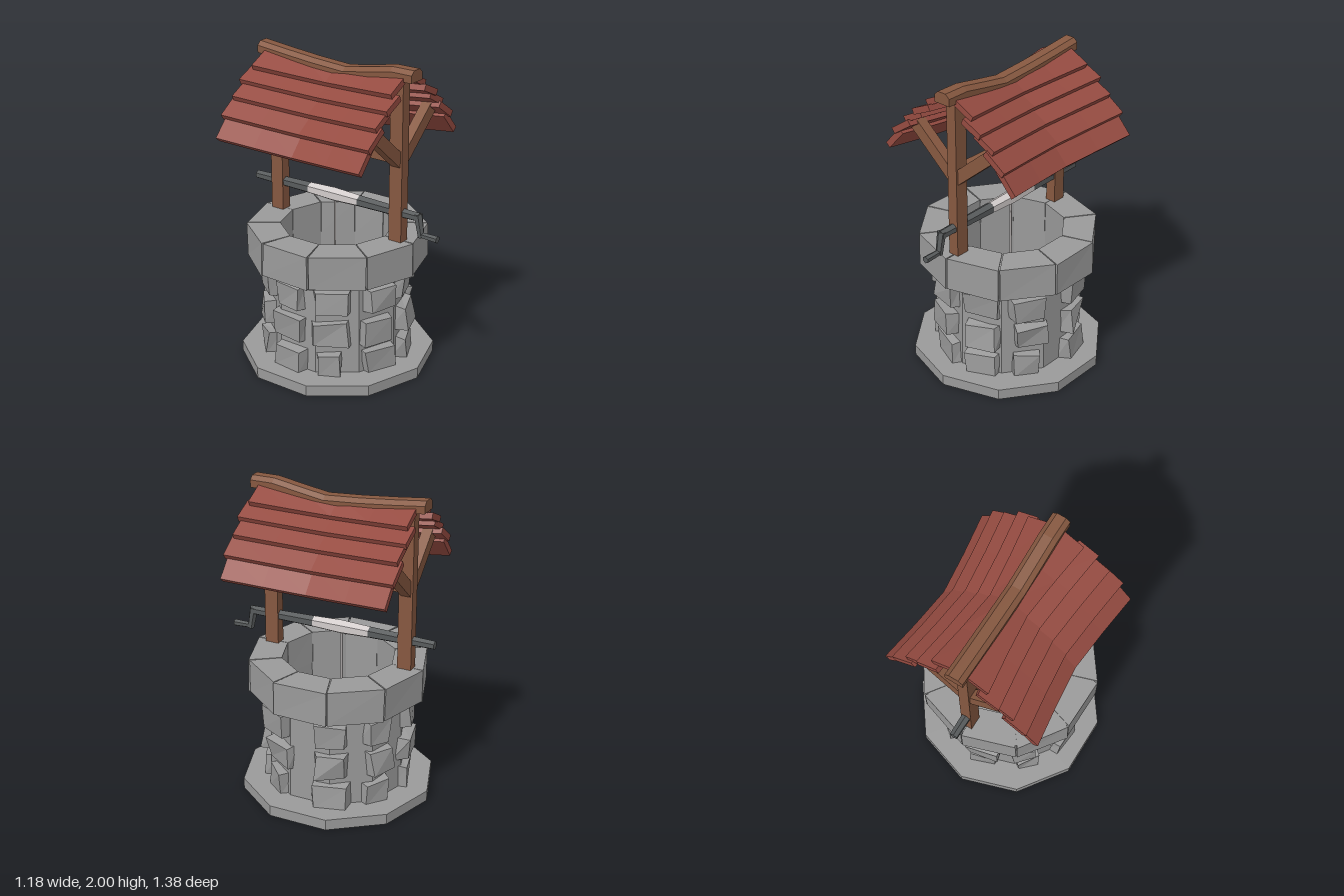
import * as THREE from 'three';

const AXIS_Z = -0.05; // the shaft's centre line

export function createModel() {
  const model = new THREE.Group();
  const mat = (name, color) => {
    const m = new THREE.MeshStandardMaterial({ color, flatShading: true });
    m.name = name;
    return m;
  };
  const stone = mat('stone', 0x9a9a9a);
  const wood = mat('wood', 0x865840);
  const tile = mat('roofTile', 0x954b41);
  const metal = mat('metal', 0x585b5c);
  const rope = mat('rope', 0xd2cccb);

  let seed = 11;
  const rand = () => (seed = (seed * 16807) % 2147483647) / 2147483647;
  const vary = (s) => (rand() - 0.5) * 2 * s;

  const add = (name, geo, material, x = 0, y = 0, z = 0) => {
    const mesh = new THREE.Mesh(geo, material);
    mesh.name = name;
    mesh.position.set(x, y, z);
    model.add(mesh);
    return mesh;
  };

  // box whose eight corners are placed by fn(sx, sy, sz), each sign being -1 or 1
  const cornerBox = (fn) => {
    const geo = new THREE.BoxGeometry(2, 2, 2);
    const p = geo.attributes.position;
    const seen = {};
    for (let i = 0; i < p.count; i++) {
      const s = [p.getX(i), p.getY(i), p.getZ(i)].map(Math.sign);
      seen[s] ??= fn(...s);
      p.setXYZ(i, ...seen[s]);
    }
    geo.computeVertexNormals();
    return geo;
  };

  // solid through counter-clockwise [x, y] sections at rising z
  const loft = (stations) => {
    const pos = [];
    const pt = (k, j) => {
      const { z, ring } = stations[k];
      return [...ring[j % ring.length], z];
    };
    const n = stations[0].ring.length;
    const last = stations.length - 1;
    for (let k = 0; k < last; k++)
      for (let j = 0; j < n; j++) {
        const a = pt(k, j), b = pt(k, j + 1), c = pt(k + 1, j + 1), d = pt(k + 1, j);
        pos.push(...a, ...b, ...c, ...a, ...c, ...d);
      }
    for (let j = 1; j < n - 1; j++) {
      pos.push(...pt(last, 0), ...pt(last, j), ...pt(last, j + 1));
      pos.push(...pt(0, 0), ...pt(0, j + 1), ...pt(0, j));
    }
    const geo = new THREE.BufferGeometry();
    geo.setAttribute('position', new THREE.Float32BufferAttribute(pos, 3));
    geo.computeVertexNormals();
    return geo;
  };

  // tapered rod between two points
  const rod = (name, a, b, ra, rb, material, sides = 6) => {
    const A = new THREE.Vector3(...a), B = new THREE.Vector3(...b);
    const dir = B.clone().sub(A);
    const mesh = add(name, new THREE.CylinderGeometry(rb, ra, dir.length(), sides), material);
    mesh.position.copy(A).add(B).multiplyScalar(0.5);
    mesh.quaternion.setFromUnitVectors(new THREE.Vector3(0, 1, 0), dir.normalize());
  };

  // ten-sided foot, hollow shaft and rim core
  const ring = (pts) => new THREE.LatheGeometry(pts.map((p) => new THREE.Vector2(...p)), 10);
  add('foot', new THREE.CylinderGeometry(0.62, 0.62, 0.07, 10), stone, 0, 0.035, AXIS_Z);
  add('shaft', ring([[0.44, 0.06], [0.43, 0.7], [0.365, 0.7], [0.365, 0.06]]), stone, 0, 0, AXIS_Z);
  add('rimCore', ring([[0.43, 0.67], [0.54, 0.68], [0.55, 0.9], [0.365, 0.9], [0.365, 0.67], [0.43, 0.67]]),
    stone, 0, 0, AXIS_Z);

  // rim blocks, one to each side, with narrow joints
  for (let i = 0; i < 10; i++) {
    const mid = (i + 0.5) * Math.PI / 5;
    add('rimBlock', cornerBox((sx, sy, sz) => {
      const a = mid + sx * (0.307 + vary(0.005));
      const r = sz > 0 ? 0.568 + vary(0.006) : 0.36;
      return [Math.sin(a) * r, sy > 0 ? 0.907 : 0.692 + vary(0.006), Math.cos(a) * r];
    }), stone, 0, 0, AXIS_Z);
  }

  // rough stones standing out of the shaft in three courses
  const angles = [17, 59, 111, 150, 188, 225, 262, 302, 340];
  for (const y of [0.135, 0.345, 0.56])
    for (const deg of angles) {
      const half = 0.1 + vary(0.025), out = 0.475 + vary(0.015);
      const m = add('wallStone', cornerBox((sx, sy, sz) => [
        sx * (half + vary(0.016) - (sz > 0 ? 0.012 : 0)),
        sy * (0.083 + vary(0.01) - (sz > 0 ? 0.008 : 0)),
        sz > 0 ? out + vary(0.02) : 0.375,
      ]), stone, 0, y, AXIS_Z);
      m.rotation.y = THREE.MathUtils.degToRad(deg + vary(3));
    }

  // posts with slanting braces, and the beam joining them
  for (const z of [0.405, -0.505]) {
    add('post', new THREE.BoxGeometry(0.07, 1.05, 0.09), wood, 0, 1.415, z);
    for (const s of [-1, 1]) {
      const brace = add('brace', new THREE.BoxGeometry(0.415, 0.078, 0.065), wood, s * 0.158, 1.545, z);
      brace.rotation.z = s * 0.708;
    }
  }
  add('tieBeam', new THREE.BoxGeometry(0.06, 0.08, 0.82), wood, 0, 1.445, AXIS_Z);

  // sagging ridge beam with chamfered top
  const ridge = [[-0.62, 2], [-0.42, 1.978], [-0.2, 1.957], [0.03, 1.942], [0.2, 1.97], [0.37, 2], [0.52, 2]];
  add('ridgeBeam', loft(ridge.map(([z, y]) => ({
    z, ring: [[-0.058, y - 0.072], [0.058, y - 0.072], [0.058, y - 0.025], [0.03, y], [-0.03, y], [-0.058, y - 0.025]],
  }))), wood);

  // overlapping roof courses, sagging towards the middle
  const eaves = [[0.52, 1.505], [0.45, 1.63], [0.36, 1.73], [0.272, 1.812], [0.187, 1.885], [0.03, 1.965]]
    .map((p) => new THREE.Vector2(...p));
  const reach = [0.53, 0.545, 0.53, 0.545, 0.515];
  const T = 0.04;
  for (let i = 0; i < 5; i++) {
    const P = eaves[i], next = eaves[i + 1];
    const d = next.clone().sub(P).normalize();
    const n = new THREE.Vector2(d.y, -d.x);
    const Q = i < 4 ? next.clone().addScaledVector(n, -T).addScaledVector(d, 0.03) : next;
    const e = Q.clone().sub(P).normalize();
    const under = new THREE.Vector2(e.y, -e.x).multiplyScalar(-T);
    const corners = [P, Q, Q.clone().add(under), P.clone().add(under)];
    for (const s of [1, -1]) {
      const stations = [-1, -0.5, 0, 0.5, 1].map((t) => {
        const sag = 1 - Math.abs(t) ** 1.2;
        const pts = corners.map((c) => [s * Math.max(0.002, c.x - 0.063 * sag), c.y - 0.033 * sag]);
        return { z: AXIS_Z + t * reach[i], ring: s > 0 ? pts : pts.reverse() };
      });
      add('roofCourse', loft(stations), tile);
    }
  }

  // winding axle, rope and crank
  rod('axleBack', [0, 1.09, -0.69], [0, 1.093, -0.26], 0.028, 0.038, metal);
  rod('ropeCoilBack', [0, 1.093, -0.26], [0, 1.093, -0.07], 0.038, 0.046, rope);
  rod('ropeCoilFront', [0, 1.093, -0.07], [0, 1.093, 0.12], 0.046, 0.038, rope);
  rod('axleFront', [0, 1.093, 0.12], [0, 1.09, 0.56], 0.038, 0.029, metal);
  rod('crankArm', [0, 1.11, 0.548], [0, 0.965, 0.575], 0.028, 0.022, metal);
  rod('crankHandle', [0, 0.98, 0.56], [0, 0.977, 0.69], 0.019, 0.023, metal);
  rod('hangingRope', [0, 1.07, -0.07], [0, 0.2, -0.07], 0.008, 0.008, rope, 5);

  return model;
}
